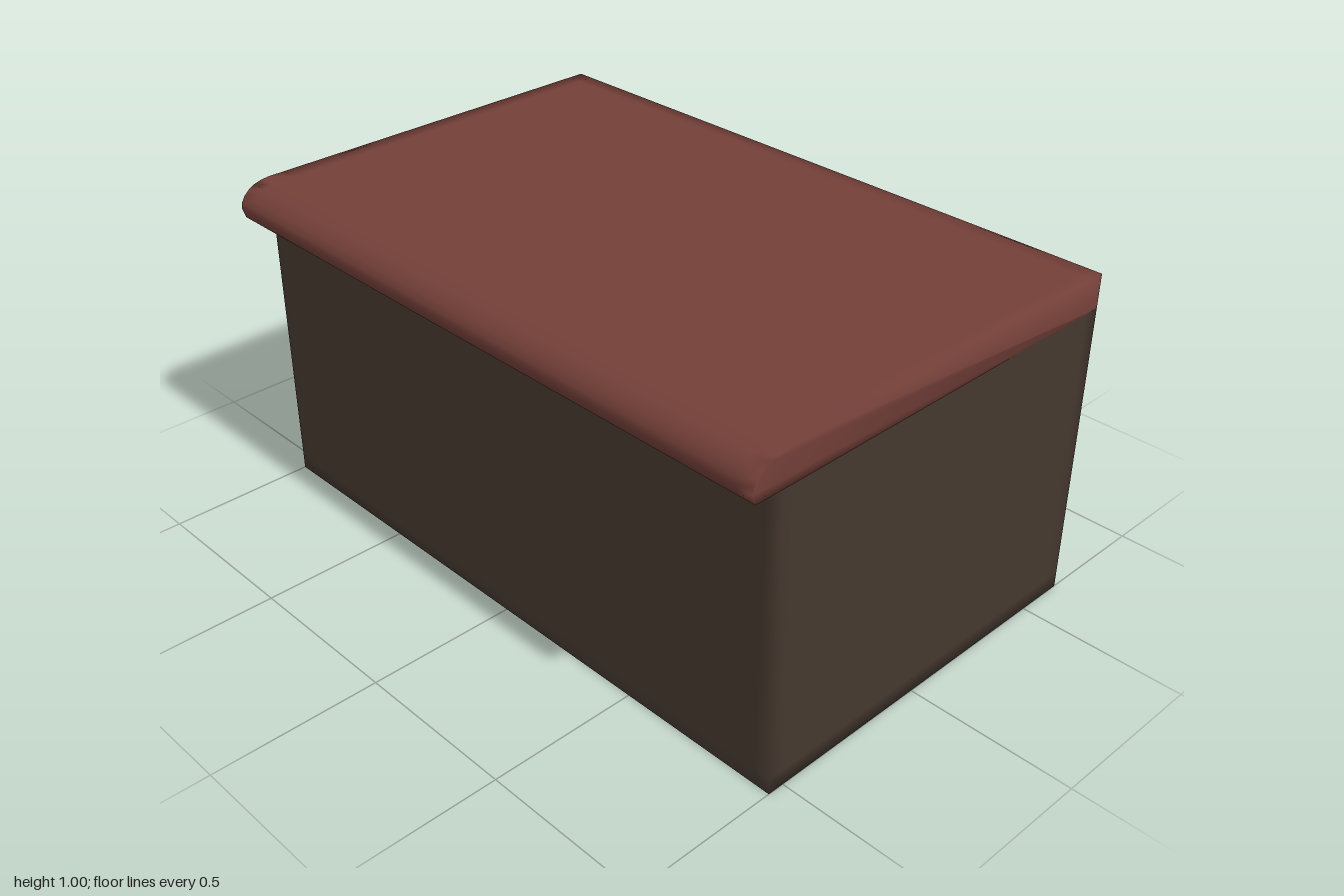
import * as THREE from 'three';
import { mergeVertices } from 'three/addons/utils/BufferGeometryUtils.js';

const INSET = 0.05; // width of the softened band beside each edge

// Adds support points near both ends of every long edge of a closed outline
function withSupports(points) {
  const out = [];
  points.forEach(([x, y], i) => {
    const a = new THREE.Vector2(x, y);
    const b = new THREE.Vector2(...points[(i + 1) % points.length]);
    const length = a.distanceTo(b);
    out.push(a);
    if (length > 0.3) {
      out.push(a.clone().lerp(b, INSET / length), b.clone().lerp(a, INSET / length));
    }
  });
  return out;
}

// Extrudes an outline with support loops near both ends
function loopedExtrude(points, depth) {
  const geometry = new THREE.ExtrudeGeometry(new THREE.Shape(withSupports(points)), {
    depth, steps: 3, bevelEnabled: false,
  });
  const p = geometry.attributes.position;
  for (let i = 0; i < p.count; i++) {
    const t = p.getZ(i) / depth;
    if (t > 0.1 && t < 0.9) p.setZ(i, t < 0.5 ? INSET : depth - INSET);
  }
  geometry.deleteAttribute('normal');
  geometry.deleteAttribute('uv');
  geometry.clearGroups();
  return mergeVertices(geometry, 1e-4);
}

export function createModel() {
  const model = new THREE.Group();
  model.name = 'desk';

  const darkWood = new THREE.MeshStandardMaterial({ color: 0x45382f });
  darkWood.name = 'dark brown wood';
  const redWood = new THREE.MeshStandardMaterial({ color: 0x733f38 });
  redWood.name = 'red brown wood';

  // Front panel and two side panels as one U, open at the back
  const body = loopedExtrude([
    [-1, -0.55], [1, -0.55], [1, 0.65], [0.92, 0.65],
    [0.92, -0.47], [-0.92, -0.47], [-0.92, 0.65], [-1, 0.65],
  ], 0.9);
  body.rotateX(-Math.PI / 2);
  // Drop the faces hidden under the top
  const kept = [];
  const index = body.index.array;
  for (let i = 0; i < index.length; i += 3) {
    const tri = [index[i], index[i + 1], index[i + 2]];
    if (!tri.every((v) => body.attributes.position.getY(v) > 0.899)) kept.push(...tri);
  }
  body.setIndex(kept);
  body.computeVertexNormals();
  const panels = new THREE.Mesh(body, darkWood);
  panels.name = 'panels';
  model.add(panels);

  // Desk top with a rounded front lip
  const profile = [[-0.65, 0.9], [0.64, 0.9]];
  for (let i = 0; i <= 6; i++) {
    const a = (i / 6) * Math.PI / 2;
    profile.push([0.55 + 0.1 * Math.cos(a), 0.93 + 0.07 * Math.sin(a)]);
  }
  profile.push([-0.65, 1]);
  const slab = loopedExtrude(profile, 2);
  slab.rotateY(-Math.PI / 2);
  slab.translate(1, 0, 0);
  slab.computeVertexNormals();
  const top = new THREE.Mesh(slab, redWood);
  top.name = 'deskTop';
  model.add(top);

  return model;
}
